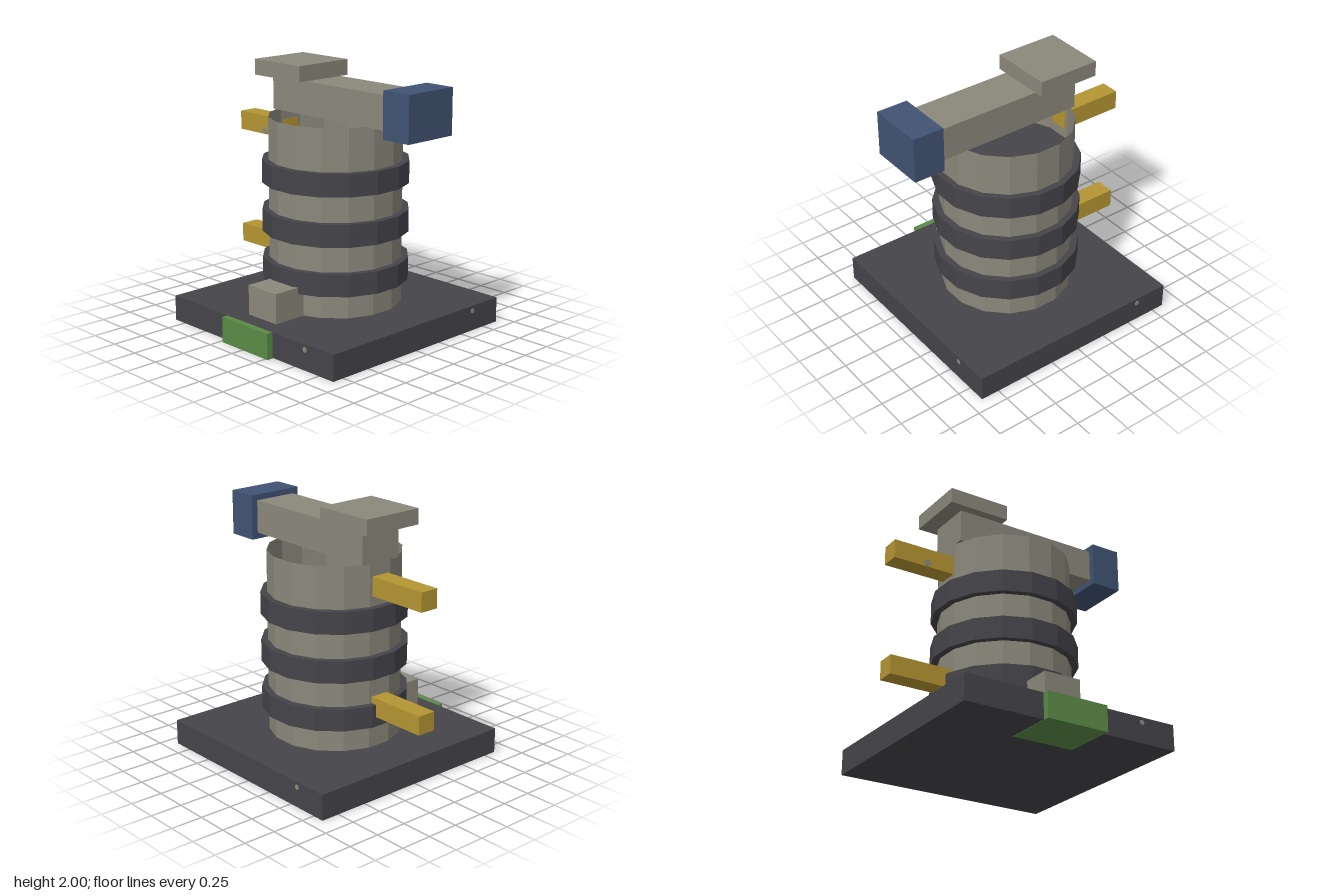
import * as THREE from 'three';

const mat = (name, color, extra = {}) => {
  const m = new THREE.MeshStandardMaterial({ color, ...extra });
  m.name = name;
  return m;
};

export function createModel() {
  const group = new THREE.Group();
  const charcoal = mat('charcoal', 0x45444a, { flatShading: true });
  const stone = mat('stone', 0x8b887b, { flatShading: true, side: THREE.DoubleSide });
  const gold = mat('gold', 0xb59632);
  const blue = mat('blue', 0x415373);
  const green = mat('green', 0x5b8b47);

  const add = (name, geometry, material, x, y, z) => {
    const mesh = new THREE.Mesh(geometry, material);
    mesh.name = name;
    mesh.position.set(x, y, z);
    group.add(mesh);
    return mesh;
  };
  // Box given by its limits on each axis
  const box = (name, material, [x0, x1], [y0, y1], [z0, z1]) =>
    add(name, new THREE.BoxGeometry(x1 - x0, y1 - y0, z1 - z0), material,
      (x0 + x1) / 2, (y0 + y1) / 2, (z0 + z1) / 2);
  // Sixteen-sided drum with flat sides facing the axes
  const drum = (name, material, r, y0, y1, open) =>
    add(name, new THREE.CylinderGeometry(r, r, y1 - y0, 16, 1, open, Math.PI / 16), material,
      0.024, (y0 + y1) / 2, -0.025);

  // Base slab, front panel set into it, and step block
  box('base', charcoal, [-0.85, 0.9], [0.003, 0.2], [-0.9, 0.85]);
  box('frontPanel', green, [-0.225, 0.275], [0, 0.198], [0.475, 0.9]);
  box('frontBlock', stone, [-0.125, 0.175], [0.2, 0.43], [0.42, 0.725]);

  // Open-topped body with three solid bands
  drum('body', stone, 0.508, 0.2, 1.625, true);
  for (const y of [0.38, 0.755, 1.13]) drum('band', charcoal, 0.559, y, y + 0.172, false);

  // Arm across the top, its end block and the cap plate
  box('topArm', stone, [-0.475, 0.73], [1.625, 1.88], [-0.2, 0.15]);
  box('armEnd', blue, [0.725, 0.97], [1.577, 1.925], [-0.25, 0.2]);
  box('capPlate', stone, [-0.602, -0.105], [1.88, 2], [-0.275, 0.222]);

  // Side bars
  for (const y of [0.455, 1.38]) box('sideBar', gold, [-0.975, -0.47], [y, y + 0.147], [-0.1, 0.05]);

  // Small studs
  const stud = (r, x, y, z, turn) => {
    const g = new THREE.CylinderGeometry(r, r, 0.008, 8).rotateX(Math.PI / 2);
    add('stud', g, stone, x, y, z).rotation.y = turn;
  };
  stud(0.03, -0.695, 1.41, 0.05, 0);
  stud(0.02, 0.615, 0.16, 0.85, 0);
  stud(0.02, 0.9, 0.16, -0.615, Math.PI / 2);
  stud(0.02, -0.575, 0.16, -0.9, 0);

  return group;
}
